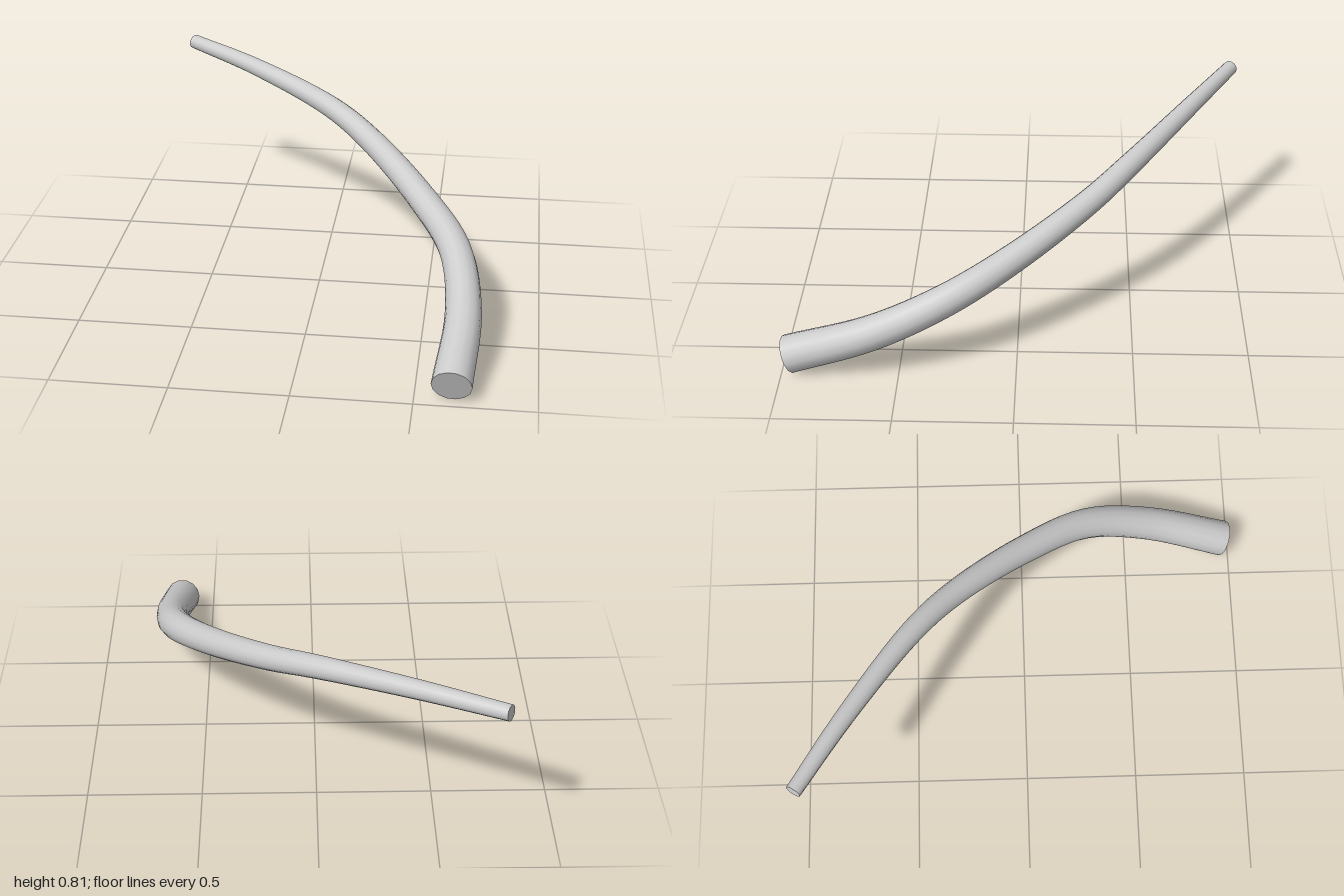
import * as THREE from 'three';

const SEGMENTS = 48, SIDES = 14;
const BASE_RADIUS = 0.084, TIP_RADIUS = 0.034;

// Flat disc closing one ring of the tube
function makeCap(ring, center, reversed) {
  const points = [];
  for (let j = 0; j < SIDES; j++) {
    const a = ring[j], b = ring[j + 1];
    points.push(center, ...(reversed ? [b, a] : [a, b]));
  }
  const geometry = new THREE.BufferGeometry().setFromPoints(points);
  geometry.computeVertexNormals();
  return geometry;
}

export function createModel() {
  const group = new THREE.Group();
  group.name = 'curvedHorn';
  const material = new THREE.MeshStandardMaterial({ color: 0xcccccc });

  // Centre line from the thick base to the thin tip
  const curve = new THREE.CatmullRomCurve3([
    [0.651, 0.083, 0.97], [0.677, 0.22, 0.6], [0.625, 0.35, 0.3],
    [0.46, 0.458, 0.02], [0.2, 0.59, -0.3], [0, 0.667, -0.48],
    [-0.4, 0.747, -0.757], [-0.745, 0.787, -0.972],
  ].map(p => new THREE.Vector3(...p)));

  // Tube tapered evenly along its length
  const tube = new THREE.TubeGeometry(curve, SEGMENTS, 1, SIDES, false);
  const position = tube.attributes.position;
  const rings = [];
  const v = new THREE.Vector3();
  for (let i = 0; i <= SEGMENTS; i++) {
    const t = i / SEGMENTS;
    const center = curve.getPointAt(t);
    const radius = THREE.MathUtils.lerp(BASE_RADIUS, TIP_RADIUS, t);
    const ring = [];
    for (let j = 0; j <= SIDES; j++) {
      const k = i * (SIDES + 1) + j;
      v.fromBufferAttribute(position, k).sub(center).multiplyScalar(radius).add(center);
      position.setXYZ(k, v.x, v.y, v.z);
      ring.push(v.clone());
    }
    rings.push(ring);
  }

  const add = (name, geometry) => {
    const mesh = new THREE.Mesh(geometry, material);
    mesh.name = name;
    group.add(mesh);
  };
  add('shaft', tube);
  add('baseCap', makeCap(rings[0], curve.getPointAt(0), false));
  add('tipCap', makeCap(rings[SEGMENTS], curve.getPointAt(1), true));
  return group;
}
